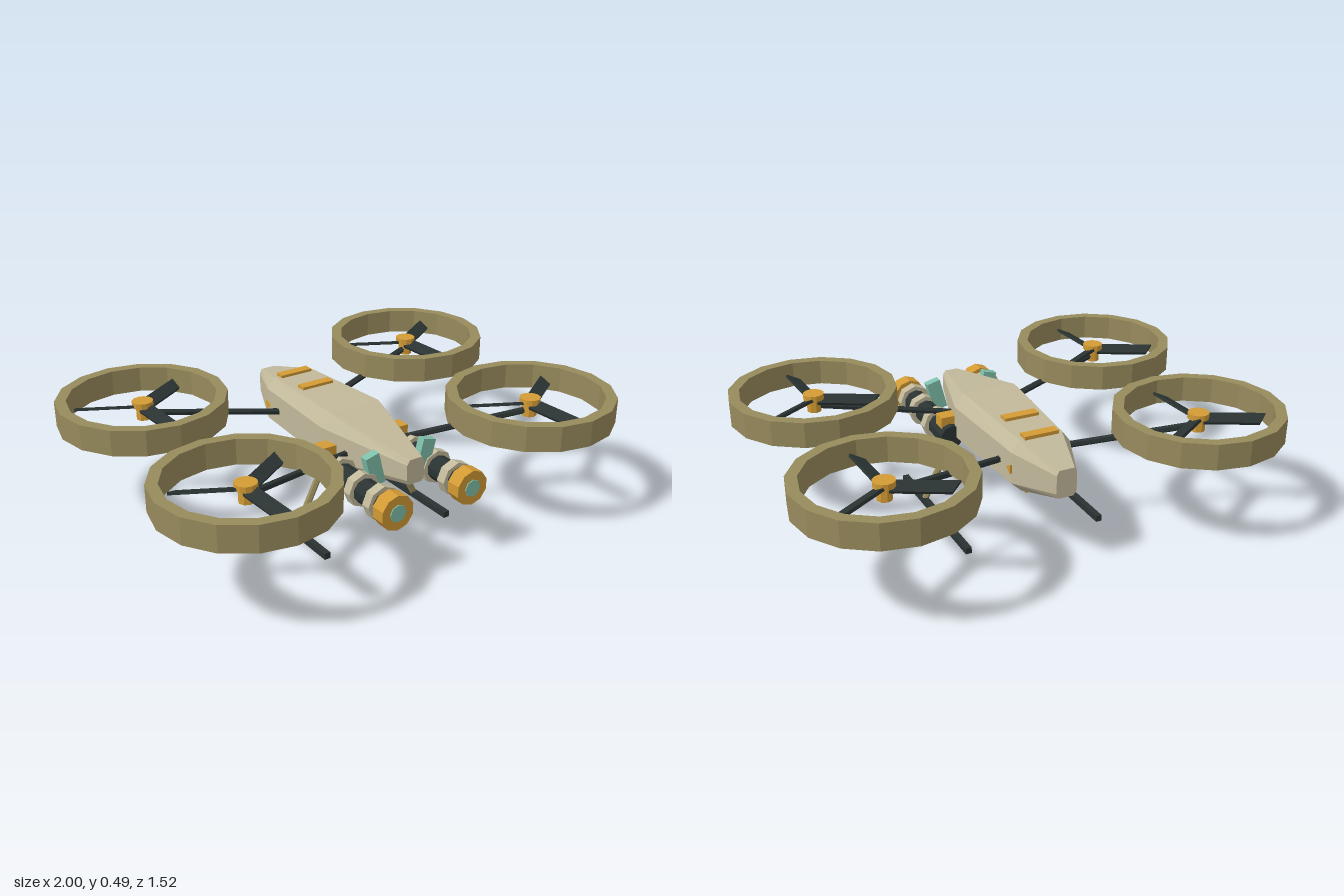
import * as THREE from 'three';

const mat = (name, color) => {
  const m = new THREE.MeshStandardMaterial({ color, flatShading: true });
  m.name = name;
  return m;
};

// Closed loft through rings of points, ordered from back (-z) to front (+z)
function loft(rings) {
  const n = rings[0].length, pos = rings.flat(2), idx = [];
  for (let i = 0; i < rings.length - 1; i++) {
    for (let j = 0; j < n; j++) {
      const a = i * n + j, b = i * n + (j + 1) % n;
      idx.push(a, b, b + n, a, b + n, a + n);
    }
  }
  const last = (rings.length - 1) * n;
  for (let j = 1; j < n - 1; j++) {
    idx.push(0, j + 1, j, last, last + j, last + j + 1);
  }
  const g = new THREE.BufferGeometry();
  g.setAttribute('position', new THREE.Float32BufferAttribute(pos, 3));
  g.setIndex(idx);
  const flat = g.toNonIndexed();
  flat.computeVertexNormals();
  return flat;
}

export function createModel() {
  const model = new THREE.Group();
  model.name = 'quadRotorDrone';
  const cream = mat('creamHull', 0xc2b99b);
  const tan = mat('tanShroud', 0x978a5c);
  const dark = mat('darkMetal', 0x2a3332);
  const orange = mat('orangeTrim', 0xd39b34);
  const teal = mat('tealGlass', 0x7fc0ab);

  const add = (parent, name, geo, material, x = 0, y = 0, z = 0) => {
    const m = new THREE.Mesh(geo, material);
    m.name = name;
    m.position.set(x, y, z);
    parent.add(m);
    return m;
  };
  const rod = (name, a, b, r, material, sides = 6) => {
    const from = new THREE.Vector3(...a), dir = new THREE.Vector3(...b).sub(from);
    const m = add(model, name, new THREE.CylinderGeometry(r, r, dir.length(), sides), material);
    m.position.copy(from).addScaledVector(dir, 0.5);
    m.quaternion.setFromUnitVectors(new THREE.Vector3(0, 1, 0), dir.normalize());
    return m;
  };
  const alongZ = (name, r, z0, z1, x, y, material, sides = 10) => {
    const g = new THREE.CylinderGeometry(r, r, z1 - z0, sides).rotateX(Math.PI / 2);
    return add(model, name, g, material, x, y, (z0 + z1) / 2);
  };

  // Faceted hull: z, side width, top width, bottom width, then four heights
  const sections = [
    [-0.55, 0.042, 0.032, 0.03, 0.305, 0.325, 0.40, 0.42],
    [-0.34, 0.125, 0.09, 0.08, 0.248, 0.29, 0.42, 0.466],
    [0.12, 0.155, 0.115, 0.095, 0.243, 0.294, 0.426, 0.479],
    [0.52, 0.04, 0.028, 0.028, 0.315, 0.335, 0.397, 0.417],
  ];
  add(model, 'hull', loft(sections.map(([z, w, t, b, y0, y1, y2, y3]) => [
    [b, y0, z], [w, y1, z], [w, y2, z], [t, y3, z],
    [-t, y3, z], [-w, y2, z], [-w, y1, z], [-b, y0, z],
  ])), cream);

  // Orange bands above and below the hull
  for (const [z, top] of [[-0.33, 0.468], [-0.162, 0.473]]) {
    add(model, 'topBand', new THREE.BoxGeometry(0.145, 0.02, 0.042), orange, 0, top, z);
    add(model, 'bottomBand', new THREE.BoxGeometry(0.135, 0.02, 0.042), orange, 0, 0.25, z);
  }

  for (const s of [1, -1]) {
    // Small triangular side marker
    const tri = new THREE.Shape([[-0.017, 0], [0.017, -0.018], [0.017, 0.018]]
      .map(p => new THREE.Vector2(...p)));
    const marker = new THREE.ExtrudeGeometry(tri, { depth: 0.02, bevelEnabled: false });
    marker.translate(0, 0, -0.01).rotateY(Math.PI / 2);
    add(model, 'sideMarker', marker, orange, s * 0.122, 0.352, -0.328);

    // Sensor pod with collars and lens
    const px = s * 0.172, py = 0.298;
    alongZ('podBarrel', 0.05, 0.11, 0.59, px, py, dark);
    for (const z of [0.27, 0.418, 0.54]) {
      alongZ('podCollar', 0.069, z - 0.02, z + 0.02, px, py, cream, 8);
    }
    alongZ('podMuzzle', 0.071, 0.585, 0.645, px, py, orange);
    alongZ('podLens', 0.035, 0.64, 0.649, px, py, teal, 8);
    add(model, 'podLatch', new THREE.BoxGeometry(0.07, 0.07, 0.06), orange, px, 0.343, 0.168);
    const bracket = add(model, 'podBracket', new THREE.BoxGeometry(0.06, 0.13, 0.035), teal,
      s * 0.118, 0.362, 0.415);
    bracket.rotation.z = s * -0.25;

    // Landing leg and skid
    rod('landingLeg', [s * 0.15, 0.3, 0.14], [s * 0.288, 0.025, 0.143], 0.014, tan);
    add(model, 'landingSkid', new THREE.BoxGeometry(0.025, 0.026, 0.675), dark,
      s * 0.29, 0.017, 0.028);
  }

  // Shrouded rotors
  const shroudGeo = new THREE.LatheGeometry(
    [[0.298, 0], [0.343, 0], [0.343, 0.105], [0.298, 0.105], [0.298, 0]]
      .map(p => new THREE.Vector2(...p)), 16);
  const bladeShape = new THREE.Shape([[0.02, -0.027], [0.24, -0.027], [0.268, 0.027], [0.02, 0.027]]
    .map(p => new THREE.Vector2(...p)));
  const bladeGeo = new THREE.ExtrudeGeometry(bladeShape, { depth: 0.012, bevelEnabled: false });
  bladeGeo.translate(0, 0, -0.006).rotateX(-Math.PI / 2 + 0.4);

  for (const s of [1, -1]) {
    for (const [z, rootZ] of [[-0.422, -0.235], [0.415, 0.225]]) {
      const rotor = new THREE.Group();
      rotor.name = 'rotor';
      rotor.position.set(s * 0.657, 0, z);
      model.add(rotor);
      add(rotor, 'shroud', shroudGeo, tan, 0, 0.385, 0);
      add(rotor, 'hubBase', new THREE.CylinderGeometry(0.03, 0.03, 0.06, 8), orange, 0, 0.42, 0);
      add(rotor, 'hubCap', new THREE.CylinderGeometry(0.043, 0.043, 0.024, 12), orange, 0, 0.455, 0);
      for (let k = 0; k < 3; k++) {
        const blade = add(rotor, 'blade', bladeGeo, dark, 0, 0.44, 0);
        blade.rotation.y = (-87 + k * 120) * Math.PI / 180;
      }
      rod('rotorArm', [s * 0.09, 0.348, rootZ], [s * 0.657, 0.415, z], 0.014, dark);
    }
  }
  return model;
}
